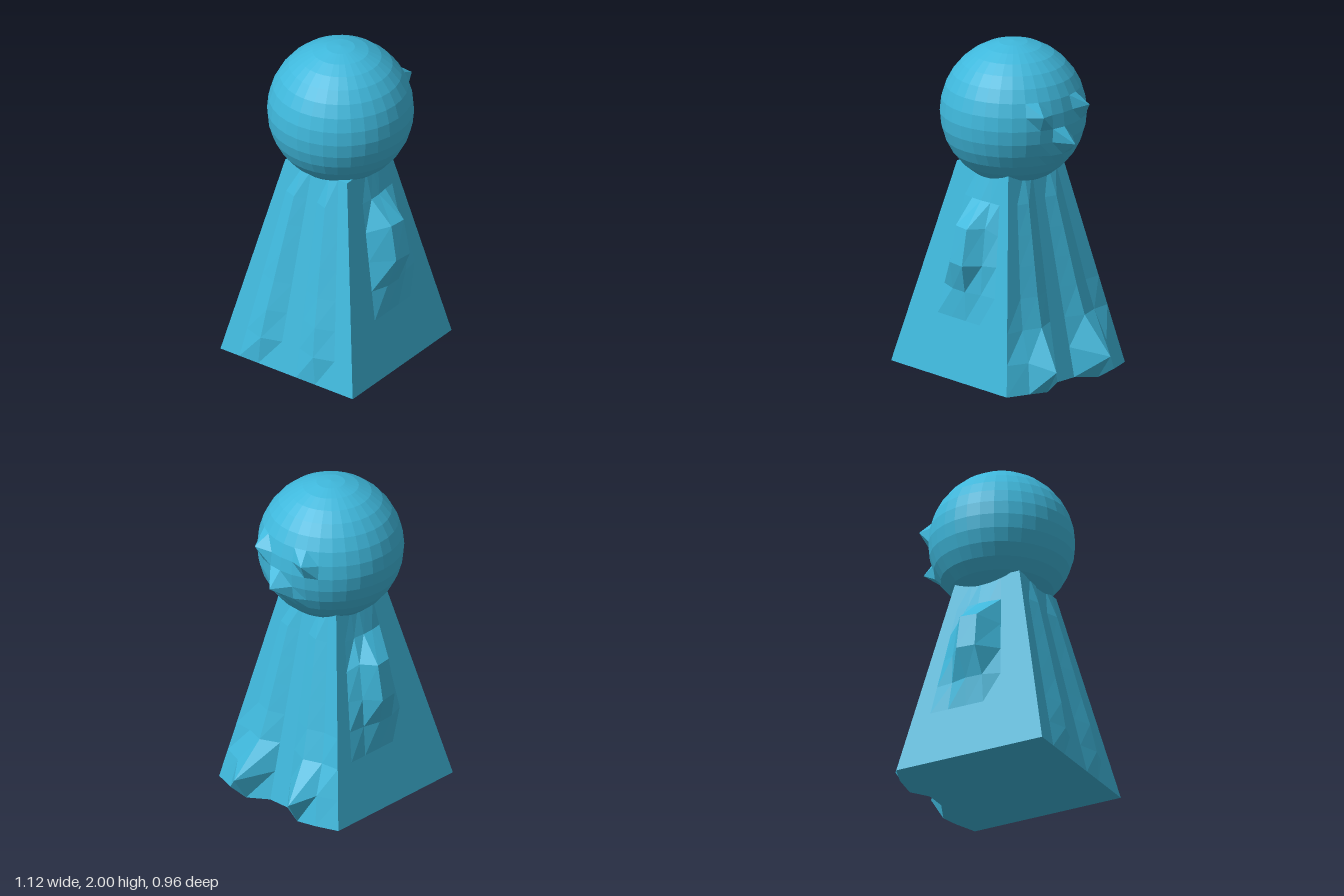
import * as THREE from 'three';

const material = new THREE.MeshStandardMaterial({ color: 0x3fb8dc, flatShading: true });

function facet(geometry, name) {
  const flat = geometry.toNonIndexed();
  flat.computeVertexNormals();
  const mesh = new THREE.Mesh(flat, material);
  mesh.name = name;
  return mesh;
}

// Tapered block on a 7 x 7 x 7 grid, with pleats, feet and arms pulled out of its faces
function makeRobe() {
  const n = 7;
  const geometry = new THREE.BoxGeometry(n, n, n, n, n, n);
  const pos = geometry.attributes.position;

  // Outward pull per row, bottom to top
  const pleat = [0, 0.04, 0.045, 0.038, 0.035, 0.03, 0.025, 0];
  const footTip = [0.06, 0.185, 0.05, 0.035, 0.03, 0.025, 0.02, 0];
  const footSide = [0.05, 0.05, 0.01, 0, 0, 0, 0, 0];
  const arm = [0, 0, 0, 0.04, 0.132, 0.127, 0.012, 0];

  for (let v = 0; v < pos.count; v++) {
    const i = Math.round(pos.getX(v) + n / 2);
    const j = Math.round(pos.getY(v) + n / 2);
    const k = Math.round(pos.getZ(v) + n / 2);
    const t = j / n;
    let x = THREE.MathUtils.lerp(-0.56 + (0.97 * i) / n, -0.27 + (0.43 * i) / n, t);
    let y = 0.015 + 1.24 * t;
    let z = (k / n - 0.5) * THREE.MathUtils.lerp(0.96, 0.45, t);
    const ridge = k === 2 || k === 5;

    // Back pleats
    if (i === 0 && ridge) x -= pleat[j];

    // Front pleats and feet
    if (i === n && ridge) {
      x += footTip[j];
      if (j === 1) { y -= 0.05; z *= 1.15; }
      if (j === 0) y = 0;
    } else if (i === n && (k === 1 || k === 6)) {
      x += footSide[j];
    }

    // Arms on both sides
    if ((k === 0 || k === n) && i >= 3 && i <= 5) {
      const weight = i === 4 ? 1 : i === 3 ? 0.9 : 0.3;
      z += Math.sign(z) * arm[j] * weight;
      if (j === 4 || j === 5) x += i === 4 ? 0.035 : 0.015;
      if (j === 5) y += 0.04;
    }
    pos.setXYZ(v, x, y, z);
  }
  return facet(geometry, 'robeWithArmsAndFeet');
}

// Faceted ball with single grid points pulled out as brows, nose and lip
function makeHead() {
  const columns = 32;
  const geometry = new THREE.SphereGeometry(0.43, columns, 16);
  const pos = geometry.attributes.position;
  const point = new THREE.Vector3();
  const pull = (row, column, factor) => {
    const v = row * (columns + 1) + column;
    point.fromBufferAttribute(pos, v).multiplyScalar(factor);
    pos.setXYZ(v, point.x, point.y, point.z);
  };
  const middle = columns / 2;
  for (const side of [-1, 1]) {
    pull(7, middle + 2 * side, 1.15);
    pull(10, middle + side, 1.03);
  }
  pull(10, middle, 1.04);
  const nose = 9 * (columns + 1) + middle;
  pos.setXYZ(nose, 0.52, -0.09, 0);

  const head = facet(geometry, 'headWithFace');
  head.position.set(-0.03, 1.57, 0);
  return head;
}

export function createModel() {
  const group = new THREE.Group();
  group.name = 'figurine';
  group.add(makeRobe(), makeHead());
  return group;
}
